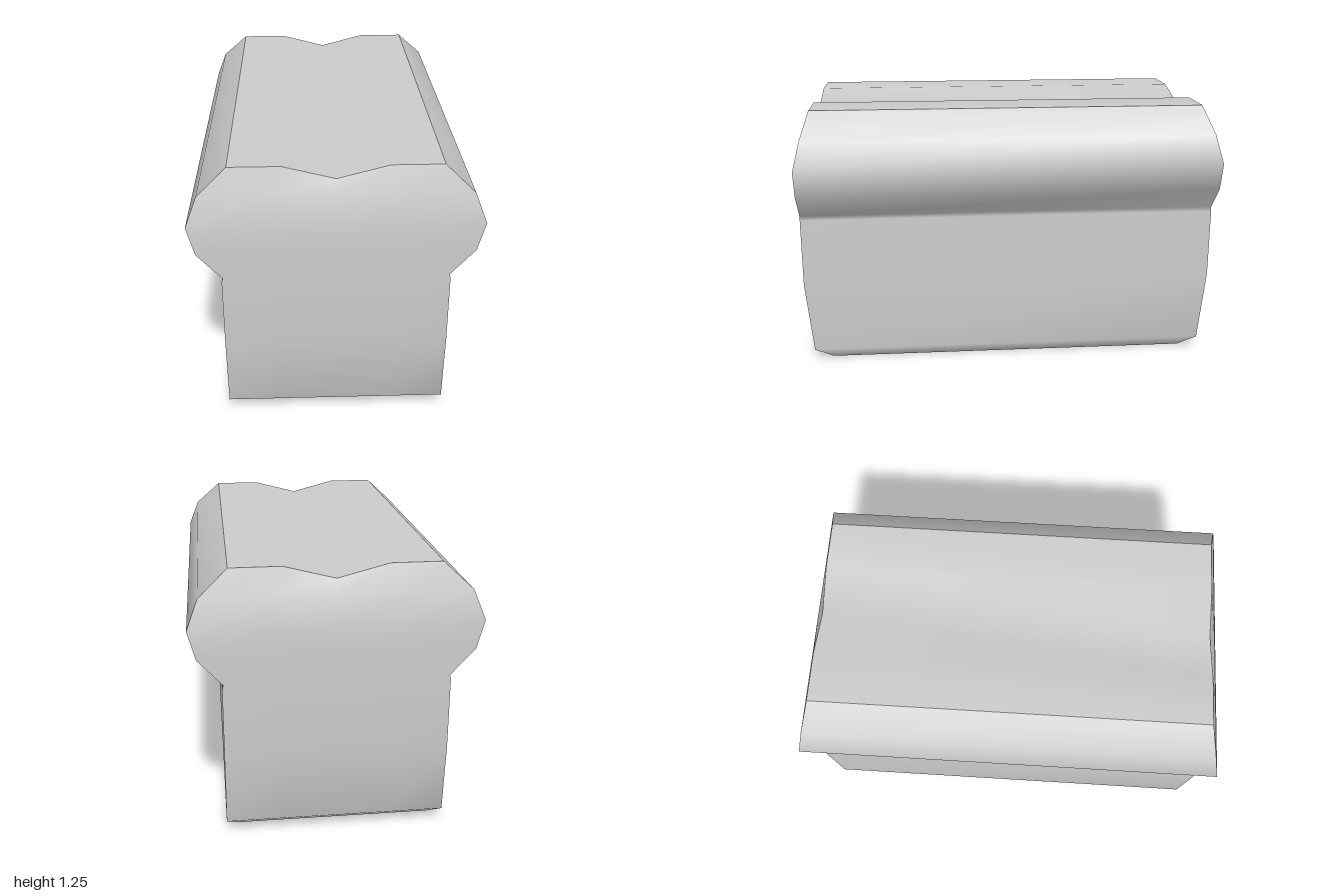
import * as THREE from 'three';

// Loaf outline from bottom to top: [half width, height, half length]
const PROFILE = [
  [0.45, 0, 0.88], [0.5, 0.06, 0.965], [0.5, 0.4, 1], [0.5, 0.73, 1], [0.495, 0.75, 1],
  [0.605, 0.87, 1], [0.64, 1, 1], [0.59, 1.13, 0.97], [0.46, 1.25, 0.935],
];
const COLUMNS = [-1, -0.5, 0, 0.5, 1];
const TOP = PROFILE.length - 1;
const DIP = 0.06;

// Point on the loaf: level, fraction across the width, fraction along the length
function loafPoint(level, u, w) {
  const [x, y, z] = PROFILE[level];
  const dip = level === TOP && u === 0 ? DIP : 0;
  return [x * u, y - dip, z * w];
}

// Smooth surface through rows of points, facing (along row) x (row to row)
function surface(name, rows, material) {
  const n = rows[0].length;
  const index = [];
  for (let i = 0; i < rows.length - 1; i++) {
    for (let j = 0; j < n - 1; j++) {
      const a = i * n + j;
      index.push(a, a + 1, a + n + 1, a, a + n + 1, a + n);
    }
  }
  const geometry = new THREE.BufferGeometry();
  geometry.setAttribute('position', new THREE.Float32BufferAttribute(rows.flat(2), 3));
  geometry.setIndex(index);
  geometry.computeVertexNormals();
  const mesh = new THREE.Mesh(geometry, material);
  mesh.name = name;
  return mesh;
}

export function createModel() {
  const material = new THREE.MeshStandardMaterial({ color: 0xcccccc });
  const loaf = new THREE.Group();
  loaf.name = 'breadLoaf';
  const levels = PROFILE.map((_, i) => i);

  // Mirrored crust sides and end faces
  for (const s of [1, -1]) {
    const side = levels.map((l) => [loafPoint(l, s, s), loafPoint(l, s, -s)]);
    const end = levels.map((l) => COLUMNS.map((u) => loafPoint(l, u * s, s)));
    loaf.add(surface(s > 0 ? 'leftCrust' : 'rightCrust', side, material));
    loaf.add(surface(s > 0 ? 'frontEnd' : 'backEnd', end, material));
  }

  // Top crust with its centre dip, and the flat base
  const across = (level, w) => COLUMNS.map((u) => loafPoint(level, u, w));
  loaf.add(surface('topCrust', [across(TOP, 1), across(TOP, -1)], material));
  loaf.add(surface('base', [across(0, -1), across(0, 1)], material));
  return loaf;
}
